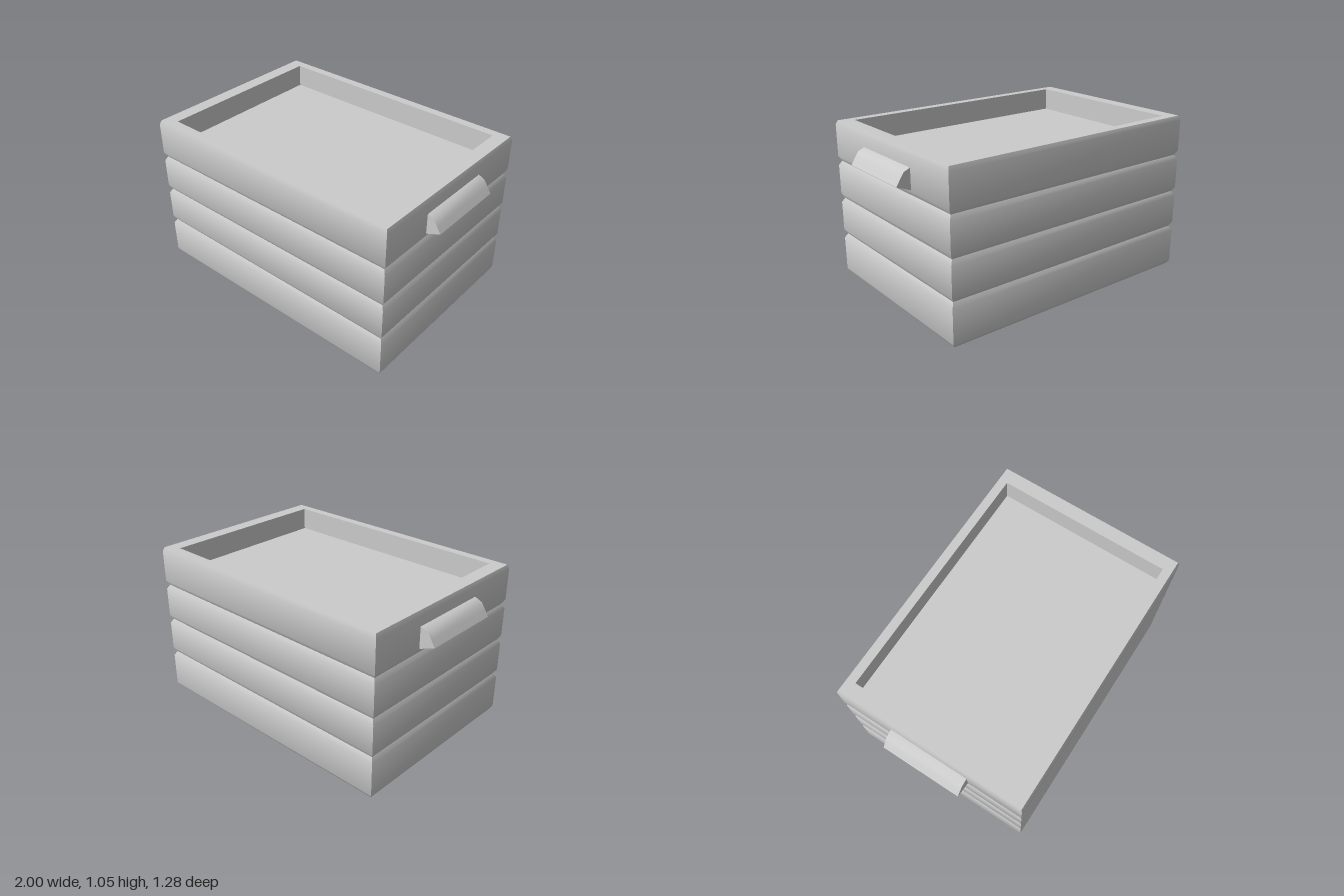
import * as THREE from 'three';
import { toCreasedNormals } from 'three/addons/utils/BufferGeometryUtils.js';

const material = new THREE.MeshStandardMaterial({ color: 0xcccccc });

// Closed skin through rectangular rings [halfX, halfZ, y], listed from the underside to the inner floor
function loftRings(rings) {
  const pos = [];
  const corner = ([hx, hz, y], i) => [[hx, y, hz], [hx, y, -hz], [-hx, y, -hz], [-hx, y, hz]][i % 4];
  const quad = (a, b, c, d) => pos.push(...a, ...b, ...c, ...a, ...c, ...d);
  for (let r = 0; r < rings.length - 1; r++) {
    for (let i = 0; i < 4; i++) {
      quad(corner(rings[r], i), corner(rings[r], i + 1), corner(rings[r + 1], i + 1), corner(rings[r + 1], i));
    }
  }
  const first = rings[0], last = rings[rings.length - 1];
  quad(...[3, 2, 1, 0].map(i => corner(first, i)));
  quad(...[0, 1, 2, 3].map(i => corner(last, i)));
  const g = new THREE.BufferGeometry();
  g.setAttribute('position', new THREE.Float32BufferAttribute(pos, 3));
  return toCreasedNormals(g, 0.8);
}

function prism(points, z0, z1) {
  const shape = new THREE.Shape(points.map(p => new THREE.Vector2(...p)));
  const g = new THREE.ExtrudeGeometry(shape, { depth: z1 - z0, bevelEnabled: false });
  return toCreasedNormals(g.translate(0, 0, z0), 0.7);
}

function addMesh(parent, geometry, name) {
  const mesh = new THREE.Mesh(geometry, material);
  mesh.name = name;
  parent.add(mesh);
}

// Hollow scoop handle on the +x side, open underneath
function createHandle(name) {
  const handle = new THREE.Group();
  handle.name = name;
  const outer = [[0.88, 0.96], [0.91, 0.955], [0.95, 0.937], [0.975, 0.9], [1, 0.86]];
  const inner = [[0.985, 0.853], [0.963, 0.89], [0.94, 0.922], [0.88, 0.94]];
  addMesh(handle, prism([...outer, ...inner].reverse(), -0.262, 0.262), 'handleHood');
  const cap = [...outer, [0.91, 0.824], [0.88, 0.814]].reverse();
  addMesh(handle, prism(cap, 0.245, 0.264), 'handleEndFront');
  addMesh(handle, prism(cap, -0.264, -0.245), 'handleEndBack');
  return handle;
}

export function createModel() {
  const model = new THREE.Group();
  model.name = 'crate';

  // Outer wall with bevelled edges and a V groove between each pair of planks
  const hx = 0.905, hz = 0.638;
  const ring = (inset, y) => [hx - inset, hz - inset, y];
  const rings = [ring(0.018, 0), ring(0.008, 0.01), ring(0, 0.028)];
  for (const y of [0.28, 0.532, 0.785]) {
    rings.push(ring(0, y - 0.03), ring(0.017, y), ring(0, y + 0.03));
  }
  rings.push(ring(0, 1.022), ring(0.01, 1.05));
  // Rim and recessed floor
  rings.push([0.805, 0.57, 1.05], [0.805, 0.57, 0.9]);

  const body = new THREE.Group();
  body.name = 'body';
  addMesh(body, loftRings(rings), 'crateBody');
  body.position.set(0.005, 0, -0.003);
  model.add(body);

  // Handles at both ends
  const left = createHandle('leftHandle');
  const right = createHandle('rightHandle');
  right.rotation.y = Math.PI;
  model.add(left, right);
  return model;
}
